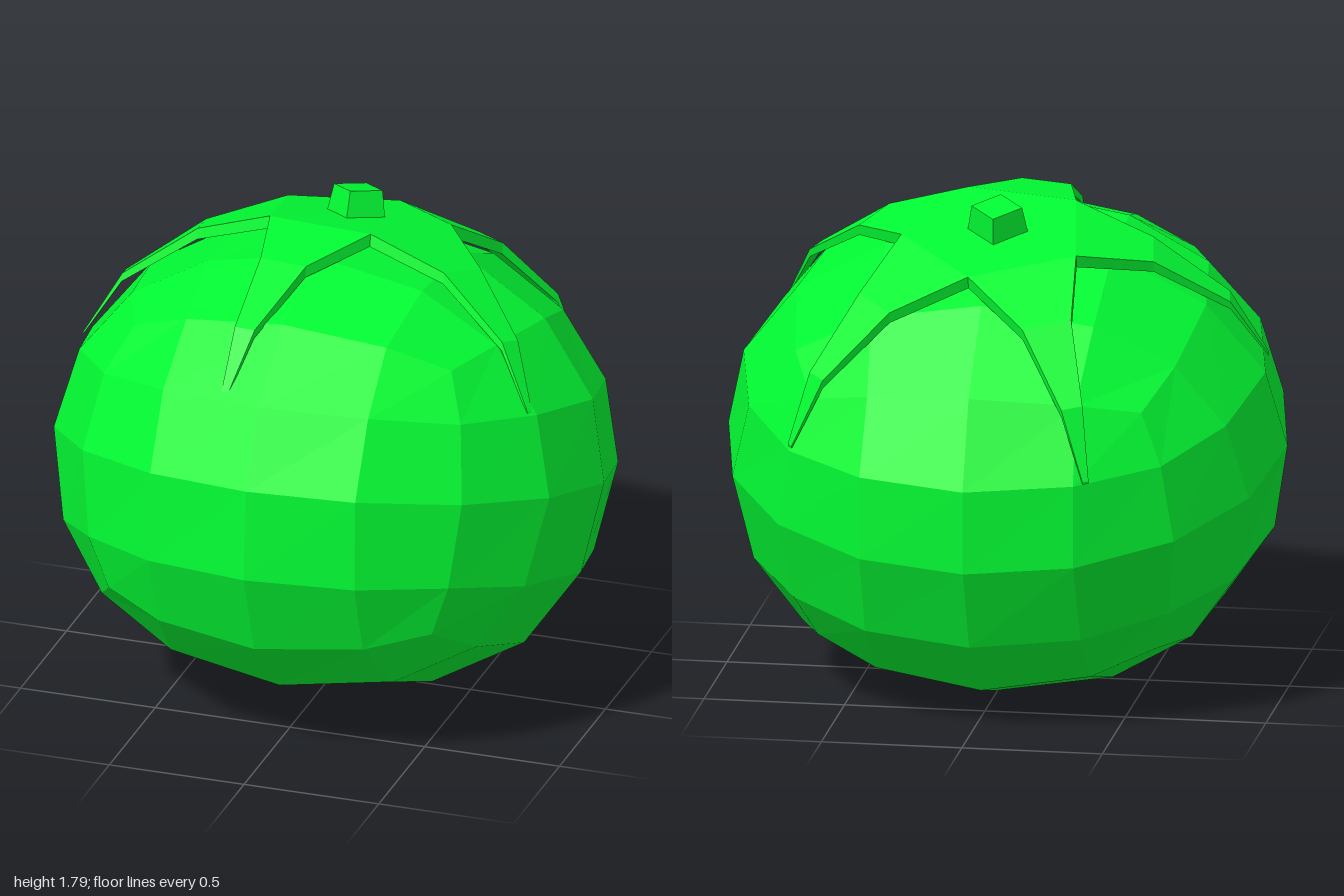
import * as THREE from 'three';

const material = new THREE.MeshStandardMaterial({ color: 0x02fa33, flatShading: true });
const thinMaterial = material.clone();
thinMaterial.side = THREE.DoubleSide;

function mesh(name, geometry, mat = material) {
  const m = new THREE.Mesh(geometry, mat);
  m.name = name;
  return m;
}

// Subdivided cube inflated to a squat ball, boxier towards the bottom
function bodyGeometry() {
  const g = new THREE.BoxGeometry(2, 2, 2, 4, 4, 4);
  const p = g.attributes.position;
  // spreads the half-way grid lines evenly over the ball
  const spread = (c, a, b) =>
    Math.abs(Math.abs(c) - 0.5) < 0.01 ? Math.sign(c) * (0.414 + 0.135 * (a * b) ** 2) : c;
  for (let i = 0; i < p.count; i++) {
    const x = p.getX(i), y = p.getY(i), z = p.getZ(i);
    const v = new THREE.Vector3(spread(x, y, z), spread(y, x, z), spread(z, x, y)).normalize();
    const v2 = v.y * v.y;
    const bulge = 0.995 + (v.y > 0 ? 0.07 : 0.13) * v2;
    const height = v.y > 0 ? 0.755 + 0.06 * v2 : 0.86;
    p.setXYZ(i, v.x * bulge, v.y * height, v.z * bulge * 1.018);
  }
  g.computeVertexNormals();
  return g;
}

// Five-pointed leaf crown draped over the top, thinning towards the tips
function crownGeometry() {
  // radius, height, half-angle (degrees) and thickness from the notch out to the tip
  const stations = [
    [0.34, 0.825, 36, 0.045], [0.55, 0.73, 9.5, 0.04],
    [0.805, 0.53, 2.8, 0.03], [0.93, 0.3, 0.7, 0.01],
  ];
  const out = [];
  const tri = (...pts) => pts.forEach((q) => out.push(...q));
  const quad = (a, b, c, d) => { tri(a, b, c); tri(a, c, d); };
  const centre = [0, 0.83, 0];

  for (let k = 0; k < 5; k++) {
    const side = (s, drop) => stations.map(([r, y, off, thick]) => {
      const a = THREE.MathUtils.degToRad(27 + 72 * k + s * off);
      return [r * Math.cos(a), y - drop * thick, r * Math.sin(a)];
    });
    const L = side(1, 0), R = side(-1, 0), lowL = side(1, 1), lowR = side(-1, 1);
    tri(centre, L[0], R[0]);
    for (let i = 0; i < 3; i++) {
      quad(L[i], L[i + 1], R[i + 1], R[i]);
      quad(lowR[i], lowR[i + 1], lowL[i + 1], lowL[i]);
      quad(L[i], lowL[i], lowL[i + 1], L[i + 1]);
      quad(R[i + 1], lowR[i + 1], lowR[i], R[i]);
    }
    quad(L[3], lowL[3], lowR[3], R[3]);
  }
  const g = new THREE.BufferGeometry();
  g.setAttribute('position', new THREE.Float32BufferAttribute(out, 3));
  g.computeVertexNormals();
  return g;
}

export function createModel() {
  const model = new THREE.Group();
  model.name = 'fruit';

  // Everything leans back together
  const tilted = new THREE.Group();
  tilted.name = 'tiltedFruit';
  tilted.position.y = 0.873;
  tilted.rotation.x = -0.25;
  model.add(tilted);

  tilted.add(mesh('body', bodyGeometry()));

  const crown = mesh('leafCrown', crownGeometry(), thinMaterial);
  crown.position.z = -0.015;
  tilted.add(crown);

  // Stubby square stem
  const stem = mesh('stem', new THREE.CylinderGeometry(0.09, 0.115, 0.14, 4));
  stem.position.set(0, 0.852, -0.015);
  tilted.add(stem);

  return model;
}
